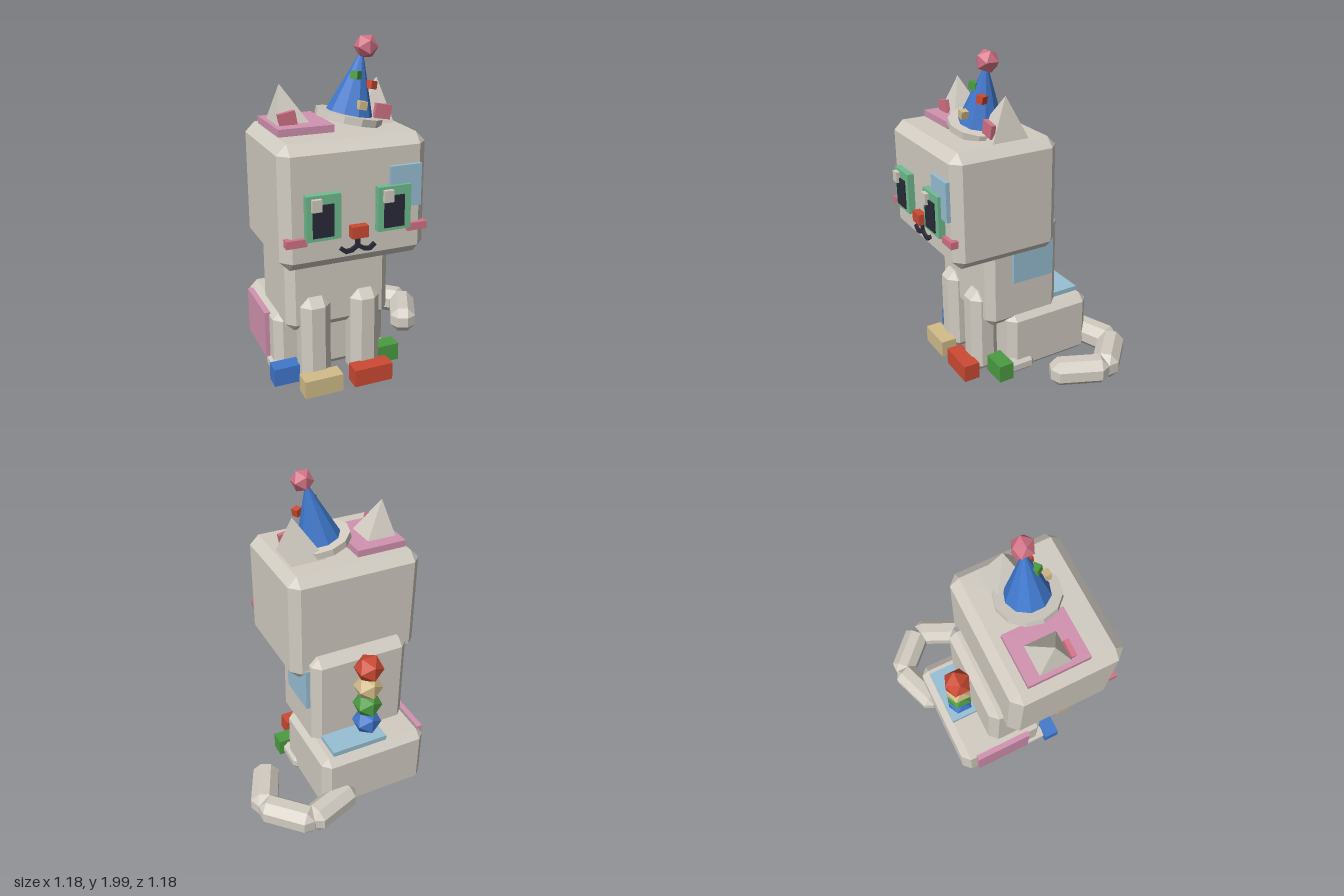
import * as THREE from 'three';
import { ConvexGeometry } from 'three/addons/geometries/ConvexGeometry.js';

const paint = (name, color) => {
  const m = new THREE.MeshStandardMaterial({ color, flatShading: true });
  m.name = name;
  return m;
};

export function createModel() {
  const grey = paint('warm grey', 0xd2ccc2);
  const sky = paint('pale blue', 0x98bfd4);
  const pink = paint('mauve pink', 0xd292b0);
  const rose = paint('rose', 0xd27286);
  const mint = paint('mint green', 0x70bc90);
  const dark = paint('near black', 0x2a2a3a);
  const blue = paint('blue', 0x4078cc);
  const red = paint('red', 0xcc4a34);
  const tan = paint('tan', 0xd2bc8a);
  const green = paint('green', 0x4c9c42);

  const model = new THREE.Group();
  model.name = 'cat';
  const MID = -0.175; // the cat's own centre line

  const add = (name, geometry, material, x = 0, y = 0, z = 0, parent = model) => {
    const mesh = new THREE.Mesh(geometry, material);
    mesh.name = name;
    mesh.position.set(x, y, z);
    parent.add(mesh);
    return mesh;
  };

  // Box with all edges and corners cut flat
  const chamferBox = (w, h, d, b) => {
    const points = [];
    for (const sx of [-1, 1]) for (const sy of [-1, 1]) for (const sz of [-1, 1])
      for (let k = 0; k < 3; k++)
        points.push(new THREE.Vector3(
          sx * (w / 2 - (k === 0 ? 0 : b)),
          sy * (h / 2 - (k === 1 ? 0 : b)),
          sz * (d / 2 - (k === 2 ? 0 : b))));
    return new ConvexGeometry(points);
  };

  // Boxes given by their limits
  const span = (name, mat, x0, x1, y0, y1, z0, z1, bevel = 0) => add(name,
    bevel ? chamferBox(x1 - x0, y1 - y0, z1 - z0, bevel)
      : new THREE.BoxGeometry(x1 - x0, y1 - y0, z1 - z0),
    mat, (x0 + x1) / 2, (y0 + y1) / 2, (z0 + z1) / 2);

  // Body masses
  span('head', grey, -0.59, 0.238, 0.84, 1.52, -0.14, 0.528, 0.055);
  span('torso', grey, -0.49, 0.14, 0.35, 0.995, -0.215, 0.28, 0.048);
  span('haunches', grey, -0.528, 0.175, 0.005, 0.415, -0.43, 0.15, 0.047);

  // Legs and paws
  for (const side of [-1, 1]) {
    const fx = MID + side * 0.153, hx = MID + side * 0.315;
    span('frontLeg', grey, fx - 0.09, fx + 0.09, 0.005, 0.565, 0.16, 0.34, 0.05);
    span('frontPaw', grey, fx - 0.06, fx + 0.06, 0.01, 0.11, 0.2, 0.37, 0.03);
    span('hindPaw', grey, hx - 0.055, hx + 0.055, 0.01, 0.11, -0.02, 0.22, 0.03);
  }
  span('frontShoeRight', tan, -0.447, -0.215, 0.01, 0.117, 0.33, 0.43);
  span('frontShoeLeft', red, -0.14, 0.098, 0.01, 0.117, 0.33, 0.43);
  span('hindShoeRight', blue, -0.573, -0.41, 0.018, 0.128, 0.16, 0.255);
  span('hindShoeLeft', green, 0.06, 0.223, 0.018, 0.128, 0.16, 0.255);

  // Tail: three chamfered links, [x0, z0, x1, z1]
  const links = [
    [-0.02, -0.405, 0.325, -0.53],
    [0.285, -0.545, 0.54, -0.29],
    [0.535, -0.325, 0.385, 0.0],
  ];
  for (const [x0, z0, x1, z1] of links) {
    const length = Math.hypot(x1 - x0, z1 - z0);
    add('tailLink', chamferBox(0.162, 0.162, length, 0.048), grey,
      (x0 + x1) / 2, 0.105, (z0 + z1) / 2).rotation.y = Math.atan2(x1 - x0, z1 - z0);
  }

  // Coloured patches
  span('foreheadPatch', sky, 0.005, 0.185, 1.135, 1.365, 0.52, 0.55);
  span('torsoPatch', sky, 0.13, 0.165, 0.637, 0.91, -0.152, 0.12);
  span('rumpPatch', sky, -0.265, 0.095, 0.405, 0.445, -0.385, -0.205);
  span('hipPatch', pink, -0.555, -0.52, 0.09, 0.383, -0.34, 0.03);
  span('crownPatch', pink, -0.53, -0.22, 1.51, 1.56, -0.035, 0.33);

  // Eyes and cheeks
  for (const x of [-0.375, 0.023]) {
    span('iris', mint, x - 0.095, x + 0.093, 1.02, 1.265, 0.52, 0.568);
    span('pupil', dark, x - 0.063, x + 0.053, 1.04, 1.215, 0.55, 0.576);
    span('eyeShine', grey, x - 0.07, x - 0.017, 1.185, 1.25, 0.55, 0.592);
  }
  span('cheekRight', rose, -0.575, -0.46, 0.993, 1.035, 0.505, 0.55);
  span('cheekLeft', rose, 0.11, 0.225, 0.993, 1.035, 0.505, 0.55);

  // Nose and mouth
  span('nose', red, -0.222, -0.13, 1.005, 1.07, 0.52, 0.575);
  span('mouthStem', dark, -0.187, -0.165, 0.94, 1.006, 0.52, 0.545);
  const smile = [[0, 0.953], [0.035, 0.93], [0.068, 0.926], [0.095, 0.947]];
  for (const side of [-1, 1])
    for (let i = 0; i < 3; i++) {
      const [ax, ay] = smile[i], [bx, by] = smile[i + 1];
      add('mouthCurve', new THREE.BoxGeometry(Math.hypot(bx - ax, by - ay) + 0.008, 0.022, 0.025), dark,
        MID + side * (ax + bx) / 2, (ay + by) / 2, 0.5325)
        .rotation.z = side * Math.atan2(by - ay, bx - ax);
    }

  // Ears: pyramids whose tips lean outwards
  for (const side of [-1, 1]) {
    const cx = MID + side * 0.23;
    const points = [new THREE.Vector3(MID + side * 0.283, 1.76, 0.137)];
    for (const dx of [-0.11, 0.11]) for (const dz of [-0.115, 0.115])
      points.push(new THREE.Vector3(cx + dx, 1.515, 0.137 + dz));
    add('ear', new ConvexGeometry(points), grey);
    add('innerEar', new THREE.BoxGeometry(0.095, 0.08, 0.028), rose,
      MID + side * 0.274, 1.587, 0.237).rotation.z = -side * 0.18;
  }

  // Party hat, tilted to the cat's left
  const hat = new THREE.Group();
  hat.name = 'partyHat';
  hat.position.set(-0.083, 1.565, 0.19);
  hat.rotation.z = -0.22;
  model.add(hat);
  add('hatBrim', new THREE.CylinderGeometry(0.187, 0.187, 0.04, 12), grey, 0, 0, 0, hat);
  add('hatCone', new THREE.ConeGeometry(0.135, 0.37, 10), blue, 0, 0.19, 0, hat);
  add('pompom', new THREE.IcosahedronGeometry(0.068, 0), rose, 0.017, 1.937, 0.195);
  const confetti = [[green, -0.06, 1.795, 0.24], [red, 0.03, 1.737, 0.24], [tan, -0.055, 1.645, 0.31]];
  confetti.forEach(([mat, x, y, z], i) => {
    add('confetti', new THREE.BoxGeometry(0.044, 0.044, 0.044), mat, x, y, z)
      .rotation.set(0, [0.6, 0.4, 0][i], -0.2);
  });

  // Row of beads down the back
  [blue, green, tan, red].forEach((mat, i) =>
    add('backBead', new THREE.IcosahedronGeometry(0.09, 0), mat, MID, 0.532 + i * 0.132, -0.29));

  return model;
}
